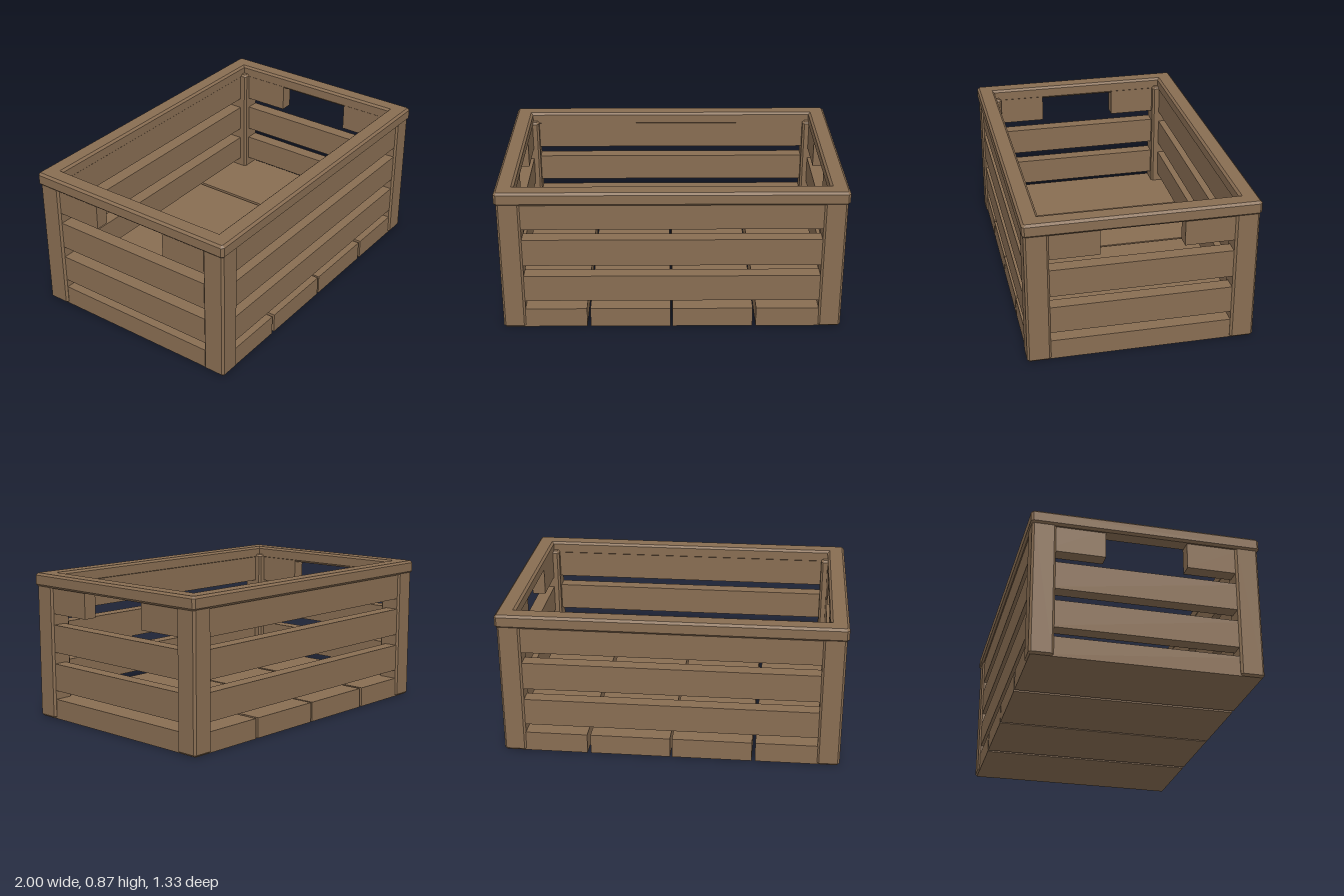
import * as THREE from 'three';

const wood = new THREE.MeshStandardMaterial({ color: 0x886d52 });
wood.name = 'brownWood';

export function createModel() {
  const crate = new THREE.Group();
  crate.name = 'slattedCrate';

  const add = (name, geometry, x = 0, y = 0, z = 0) => {
    const mesh = new THREE.Mesh(geometry, wood);
    mesh.name = name;
    mesh.position.set(x, y, z);
    crate.add(mesh);
    return mesh;
  };

  // Plain board given by its limits on each axis
  const board = (name, [x0, x1], [y0, y1], [z0, z1]) =>
    add(name, new THREE.BoxGeometry(x1 - x0, y1 - y0, z1 - z0),
      (x0 + x1) / 2, (y0 + y1) / 2, (z0 + z1) / 2);

  // Rectangle outline with corners cut by c
  const outline = (w, d, c, Type = THREE.Shape) => {
    const a = w / 2, b = d / 2;
    const corners = c > 0
      ? [[a - c, -b], [a, -b + c], [a, b - c], [a - c, b], [-a + c, b], [-a, b - c], [-a, -b + c], [-a + c, -b]]
      : [[a, -b], [a, b], [-a, b], [-a, -b]];
    return new Type(corners.map(([x, y]) => new THREE.Vector2(x, y)));
  };

  // Upright extrusion with chamfered top and bottom edges, standing on y = 0
  const chamfered = (shape, height, c) => {
    const g = new THREE.ExtrudeGeometry(shape, {
      depth: height - 2 * c, bevelEnabled: true, bevelThickness: c,
      bevelSize: c, bevelOffset: -c, bevelSegments: 1,
    });
    g.rotateX(-Math.PI / 2);
    g.translate(0, c, 0);
    return g;
  };

  // Corner posts
  const postGeometry = chamfered(outline(0.132, 0.136, 0.012), 0.82, 0.012);
  for (const sx of [-1, 1]) {
    for (const sz of [-1, 1]) add('cornerPost', postGeometry, sx * 0.923, 0, sz * 0.587);
  }

  // Top rim frame
  const rimShape = outline(2, 1.326, 0.014);
  rimShape.holes.push(outline(1.79, 1.118, 0, THREE.Path));
  add('topRim', chamfered(rimShape, 0.08, 0.013), 0, 0.792, 0);

  // Floor planks
  for (const span of [[-0.975, -0.498], [-0.478, -0.01], [0.002, 0.472], [0.492, 0.975]]) {
    board('floorPlank', span, [0, 0.119], [-0.645, 0.645]);
  }

  // Wall slats
  const mirror = (s, a, b) => (s > 0 ? [a, b] : [-b, -a]);
  const levels = [[0.173, 0.336], [0.406, 0.571], [0.638, 0.81]];
  for (const s of [-1, 1]) {
    for (const level of levels) {
      board('longSlat', [-0.92, 0.92], level, mirror(s, 0.562, 0.644));
    }
    for (const level of levels.slice(0, 2)) {
      board('endSlat', mirror(s, 0.897, 0.977), level, [-0.58, 0.58]);
    }
    // Upper end boards leave a hand opening between them
    for (const sz of [-1, 1]) {
      board('handleBlock', mirror(s, 0.897, 0.977), levels[2], mirror(sz, 0.236, 0.58));
    }
  }
  return crate;
}
